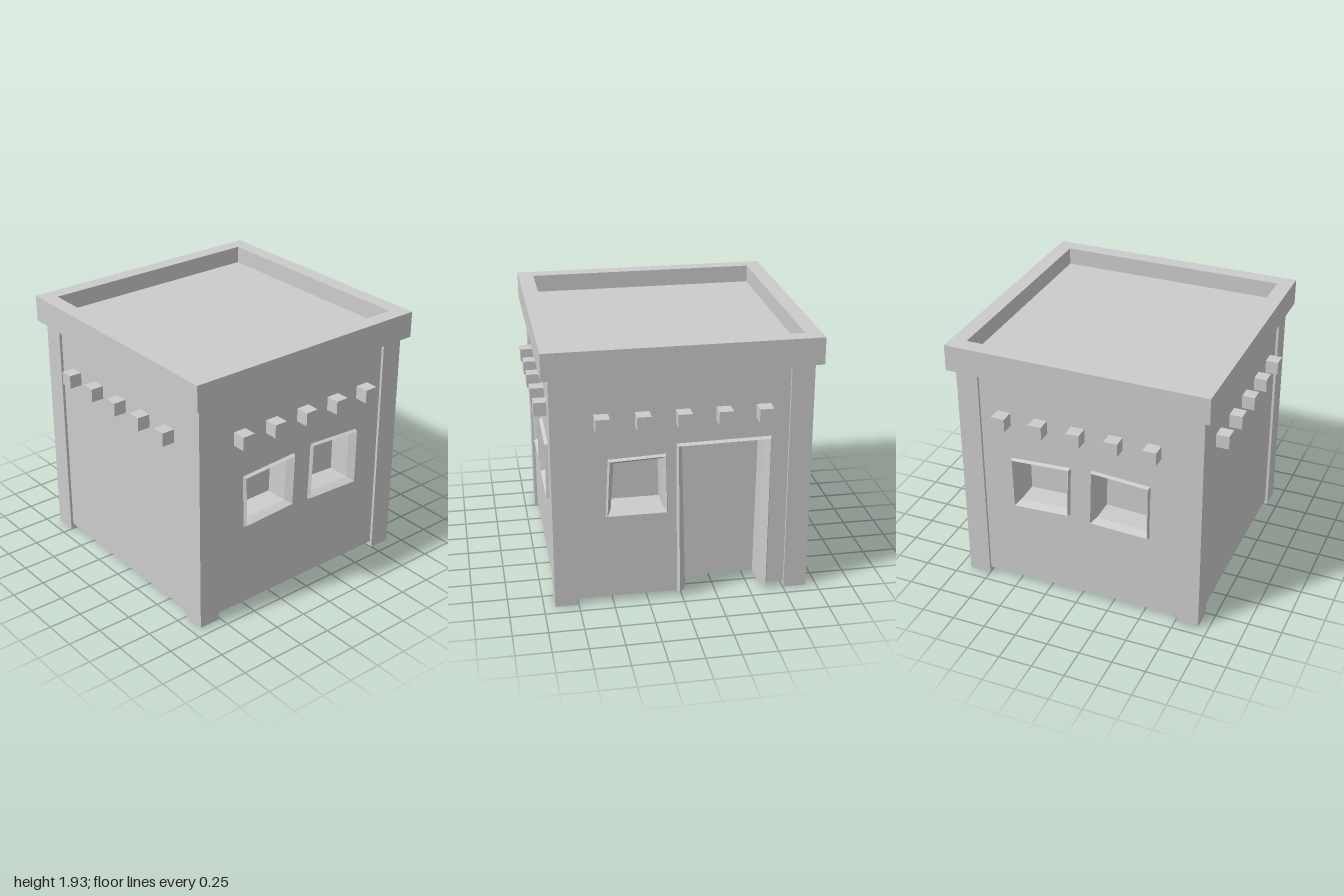
import * as THREE from 'three';

const WALL = 0.9, BASE = 0.04, EAVE = 1.735, TOP = 1.93;
const mat = new THREE.MeshStandardMaterial({ color: 0xcccccc, flatShading: true, side: THREE.DoubleSide });

function add(parent, name, geometry, x = 0, y = 0, z = 0) {
  const mesh = new THREE.Mesh(geometry, mat);
  mesh.name = name;
  mesh.position.set(x, y, z);
  parent.add(mesh);
  return mesh;
}

const toShape = pts => new THREE.Shape(pts.map(p => new THREE.Vector2(p[0], p[1])));

// Openings: outer frame corners and inner recess corners, as BL, TL, TR, BR
const crookedWindows = [
  { outer: [[-0.52, 0.675], [-0.53, 1.08], [-0.065, 1.105], [-0.08, 0.7]],
    inner: [[-0.48, 0.72], [-0.48, 1.04], [-0.11, 1.06], [-0.12, 0.73]] },
  { outer: [[0.075, 0.68], [0.09, 1.125], [0.535, 1.1], [0.53, 0.665]],
    inner: [[0.12, 0.72], [0.13, 1.085], [0.495, 1.06], [0.495, 0.7]] },
];
const sideWindow = {
  outer: [[-0.545, 0.675], [-0.525, 1.11], [-0.115, 1.125], [-0.105, 0.675]],
  inner: [[-0.505, 0.715], [-0.48, 1.065], [-0.145, 1.08], [-0.135, 0.715]],
};
const door = {
  outer: [[-0.035, BASE], [-0.045, 1.195], [0.63, 1.205], [0.63, BASE]],
  inner: [[0.03, BASE], [0.0, 1.16], [0.585, 1.165], [0.57, BASE]],
};

// Raised bevelled frame, straight reveal and back panel of one opening
function addOpening(parent, name, { outer, inner }, ridgeHeight, closed) {
  const ridge = outer.map((p, i) => [0, 1].map(k => p[k] + (inner[i][k] - p[k]) * 0.25));
  const ring = (pts, z) => pts.map(p => [p[0], p[1], z]);
  const rings = [ring(outer, 0), ring(ridge, ridgeHeight), ring(inner, -0.03), ring(inner, -0.2)];
  const pos = [];
  const quad = (a, b, c, d) => pos.push(...a, ...b, ...c, ...a, ...c, ...d);
  for (let r = 0; r < 3; r++) {
    for (let i = 0; i < (closed ? 4 : 3); i++) {
      const j = (i + 1) % 4;
      quad(rings[r][i], rings[r + 1][i], rings[r + 1][j], rings[r][j]);
    }
  }
  const [bl, tl, tr, br] = rings[3];
  quad(bl, br, tr, tl);
  const geo = new THREE.BufferGeometry();
  geo.setAttribute('position', new THREE.Float32BufferAttribute(pos, 3));
  geo.computeVertexNormals();
  add(parent, name, geo, 0, 0, WALL);
}

// Thin wall sheet facing +z, cut for its windows and door
function makeWall(name, windows, doorway) {
  const wall = new THREE.Group();
  wall.name = name;
  const notch = doorway ? doorway.outer : [];
  const shape = toShape([[-WALL, BASE], ...notch, [WALL, BASE], [WALL, EAVE], [-WALL, EAVE]]);
  windows.forEach(w => shape.holes.push(toShape(w.outer)));
  add(wall, 'wallSheet', new THREE.ShapeGeometry(shape), 0, 0, WALL);
  windows.forEach(w => addOpening(wall, 'window', w, 0.025, true));
  if (doorway) addOpening(wall, 'door', doorway, 0.035, false);
  return wall;
}

export function createModel() {
  const model = new THREE.Group();
  model.name = 'house';
  const body = new THREE.Group();
  body.name = 'body';
  body.position.x = -0.005;
  model.add(body);

  const sides = [
    ['frontWall', crookedWindows, null],
    ['leftWall', [sideWindow], door],
    ['backWall', crookedWindows, null],
    ['rightWall', [], null],
  ];
  sides.forEach(([name, windows, doorway], s) => {
    const wall = makeWall(name, windows, doorway);
    wall.rotation.y = s * Math.PI / 2;
    body.add(wall);

    // Row of projecting roof beam ends
    const beams = new THREE.Group();
    beams.name = 'beamEnds';
    beams.rotation.y = s * Math.PI / 2;
    for (let i = -2; i <= 2; i++) {
      add(beams, 'beamEnd', new THREE.BoxGeometry(0.1, 0.1, 0.105), i * 0.2835, 1.4, 0.9475);
    }
    model.add(beams);
  });

  // Hollow square corner posts
  const postGeo = new THREE.CylinderGeometry(0.0825 * Math.SQRT2, 0.0825 * Math.SQRT2, EAVE, 4, 1, true);
  postGeo.rotateY(Math.PI / 4);
  for (const x of [-1, 1]) {
    for (const z of [-1, 1]) add(body, 'cornerPost', postGeo, x * 0.8375, EAVE / 2, z * 0.8375);
  }

  // Parapet ring around a sunken flat roof
  const square = r => [[-r, -r], [r, -r], [r, r], [-r, r]];
  const rim = toShape(square(0.97));
  rim.holes.push(toShape(square(0.855)));
  const rimGeo = new THREE.ExtrudeGeometry(rim, { depth: TOP - EAVE, bevelEnabled: false });
  rimGeo.rotateX(-Math.PI / 2);
  add(body, 'parapet', rimGeo, 0, EAVE, 0);
  add(body, 'roofDeck', new THREE.BoxGeometry(1.71, 0.065, 1.71), 0, EAVE + 0.0325, 0);

  return model;
}
